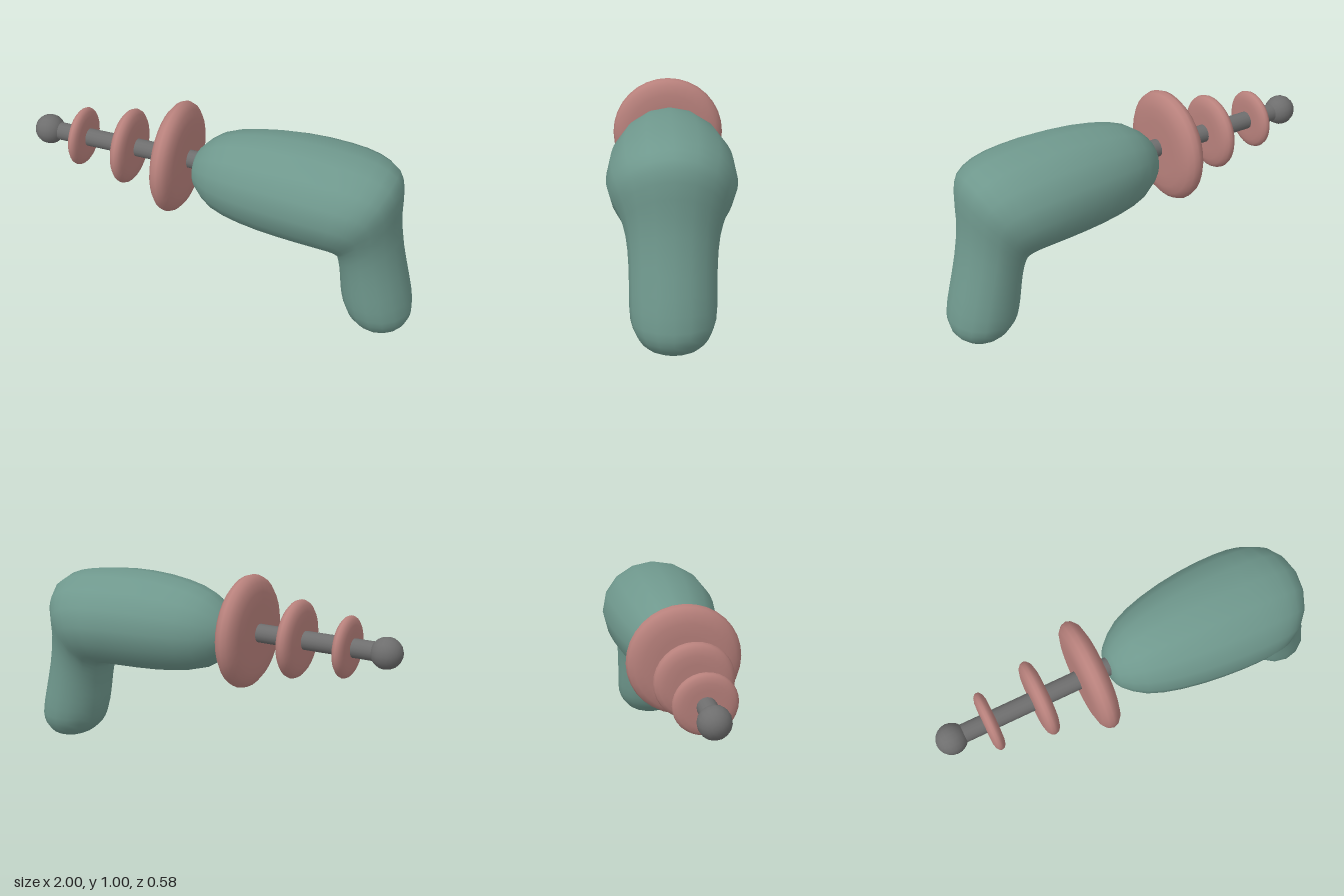
import * as THREE from 'three';

const AXIS_Y = 0.725; // height of the barrel axis
const paint = (color) => new THREE.MeshStandardMaterial({ color });

// Skin of elliptical rings. Each section: upper x,y, lower x,y, half width in z.
function loft(sections, steps, sides) {
  const curve = (f) => new THREE.CatmullRomCurve3(sections.map(f));
  const upper = curve((s) => new THREE.Vector3(s[0], s[1], s[4]));
  const lower = curve((s) => new THREE.Vector3(s[2], s[3], s[4]));
  const rings = (sections.length - 1) * steps;
  const pos = [], index = [];
  for (let i = 0; i <= rings; i++) {
    const u = upper.getPoint(i / rings), l = lower.getPoint(i / rings);
    const width = Math.max(0, (u.z + l.z) / 2);
    for (let j = 0; j < sides; j++) {
      const a = (j / sides) * Math.PI * 2, c = Math.cos(a) / 2;
      pos.push((u.x + l.x) / 2 + (u.x - l.x) * c, (u.y + l.y) / 2 + (u.y - l.y) * c, width * Math.sin(a));
      if (i === rings) continue;
      const k = i * sides + j, n = i * sides + ((j + 1) % sides);
      index.push(k, n, k + sides, n, n + sides, k + sides);
    }
  }
  const geo = new THREE.BufferGeometry();
  geo.setAttribute('position', new THREE.Float32BufferAttribute(pos, 3));
  geo.setIndex(index);
  geo.computeVertexNormals();
  return geo;
}

export function createModel() {
  const group = new THREE.Group();
  const teal = paint(0x6f988d), pink = paint(0xb8817c), grey = paint(0x6e6e6e);
  const add = (name, geo, mat, x = 0, y = 0) => {
    const mesh = new THREE.Mesh(geo, mat);
    mesh.name = name;
    mesh.position.set(x, y, 0);
    group.add(mesh);
    return mesh;
  };

  // Body and grip: one skin running along the body and fanning round the corner
  add('bodyAndGrip', loft([
    [-0.13, 0.69, -0.13, 0.69, 0],
    [-0.125, 0.75, -0.125, 0.63, 0.06],
    [-0.10, 0.80, -0.10, 0.585, 0.11],
    [0.00, 0.885, 0.00, 0.51, 0.19],
    [0.16, 0.93, 0.16, 0.475, 0.245],
    [0.38, 0.95, 0.36, 0.46, 0.28],
    [0.60, 0.94, 0.54, 0.453, 0.29],
    [0.76, 0.913, 0.59, 0.446, 0.28],
    [0.86, 0.86, 0.605, 0.432, 0.257],
    [0.893, 0.77, 0.615, 0.415, 0.23],
    [0.898, 0.62, 0.627, 0.37, 0.203],
    [0.925, 0.45, 0.637, 0.30, 0.192],
    [0.965, 0.29, 0.645, 0.22, 0.19],
    [0.997, 0.14, 0.662, 0.14, 0.185],
    [0.99, 0.075, 0.695, 0.075, 0.16],
    [0.955, 0.028, 0.75, 0.028, 0.115],
    [0.90, 0.006, 0.81, 0.006, 0.055],
    [0.855, 0, 0.855, 0, 0],
  ], 2, 16), teal);

  // Barrel rod
  add('barrel', new THREE.CylinderGeometry(0.045, 0.045, 0.9, 16), grey, -0.45, AXIS_Y).rotation.z = Math.PI / 2;

  // Ball at the muzzle
  add('muzzleBall', new THREE.SphereGeometry(0.075, 16, 10), grey, -0.925, AXIS_Y).rotation.z = Math.PI / 2;

  // Round-edged discs along the barrel: x, radius, half thickness
  const rim = [[0, -1], [0.5, -1], [0.72, -0.95], [0.88, -0.75], [0.97, -0.4], [1, 0],
    [0.97, 0.4], [0.88, 0.75], [0.72, 0.95], [0.5, 1], [0, 1]];
  for (const [x, r, h] of [[-0.22, 0.275, 0.06], [-0.48, 0.187, 0.04], [-0.735, 0.146, 0.03]]) {
    const profile = rim.map(([u, v]) => new THREE.Vector2(u * r, v * h));
    add('barrelDisc', new THREE.LatheGeometry(profile, 32), pink, x, AXIS_Y).rotation.z = Math.PI / 2;
  }
  return group;
}
